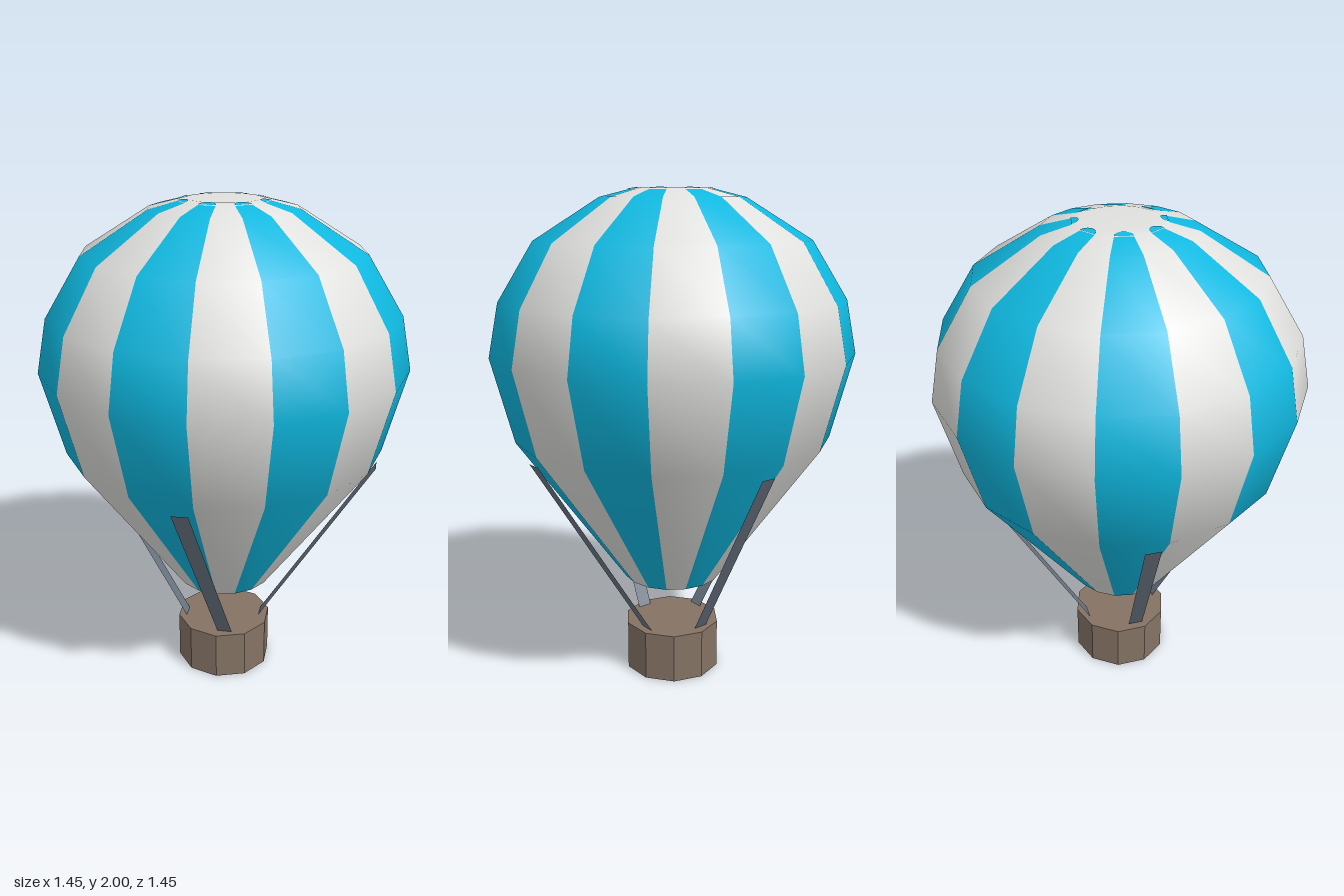
import * as THREE from 'three';

const SIDES = 16;

function material(name, color, side = THREE.FrontSide) {
  const m = new THREE.MeshStandardMaterial({ color, side });
  m.name = name;
  return m;
}

export function createModel() {
  const white = material('white fabric', 0xe0e0de, THREE.DoubleSide);
  const blue = material('blue fabric', 0x0fb8e0, THREE.DoubleSide);
  const wicker = material('brown wicker', 0x857364);
  const strapGrey = material('grey strap', 0x6b7683, THREE.DoubleSide);

  const model = new THREE.Group();
  model.name = 'hotAirBalloon';

  // Envelope: 16 smooth gores, alternating white and blue, with a white crown
  const profile = [
    [0.2, 0.415], [0.64, 1.03], [0.727, 1.37], [0.685, 1.58],
    [0.545, 1.805], [0.287, 1.965], [0.175, 1.993], [0.145, 2], [0, 2],
  ].map(([r, y]) => new THREE.Vector2(r, y));
  const envelopeGeo = new THREE.LatheGeometry(profile, SIDES);
  const perGore = (profile.length - 1) * 6;
  const crown = 2 * 6;
  for (let i = 0; i < SIDES; i++) {
    envelopeGeo.addGroup(i * perGore, perGore - crown, i % 2);
    envelopeGeo.addGroup((i + 1) * perGore - crown, crown, 0);
  }
  const envelope = new THREE.Mesh(envelopeGeo, [white, blue]);
  envelope.name = 'envelope';
  model.add(envelope);

  // Rounded ends of the blue stripes around the crown
  for (let i = 1; i < SIDES; i += 2) {
    const geo = new THREE.CircleGeometry(0.034, 12, 0, Math.PI);
    geo.scale(1, 0.8, 1);
    geo.rotateX(-Math.PI / 2 + 0.22);
    geo.translate(0, 1.9955, 0.172);
    geo.rotateY((i + 0.5) * Math.PI * 2 / SIDES);
    const end = new THREE.Mesh(geo, blue);
    end.name = 'stripeEnd';
    model.add(end);
  }

  // Basket: ten flat sides
  const basketGeo = new THREE.CylinderGeometry(0.2, 0.2, 0.205, 10).toNonIndexed();
  basketGeo.computeVertexNormals();
  const basket = new THREE.Mesh(basketGeo, wicker);
  basket.name = 'basket';
  basket.position.y = 0.1025;
  model.add(basket);

  // Four flat slanting straps from the basket to the envelope
  const strapGeo = new THREE.BufferGeometry();
  strapGeo.setAttribute('position', new THREE.Float32BufferAttribute([
    -0.002, 0.203, 0.155, 0.06, 0.203, 0.155,
    -0.022, 0.985, 0.623, -0.086, 0.985, 0.623,
  ], 3));
  strapGeo.setIndex([0, 1, 2, 0, 2, 3]);
  strapGeo.computeVertexNormals();
  for (let i = 0; i < 4; i++) {
    const strap = new THREE.Mesh(strapGeo, strapGrey);
    strap.name = 'strap';
    strap.rotation.y = i * Math.PI / 2;
    model.add(strap);
  }

  return model;
}
